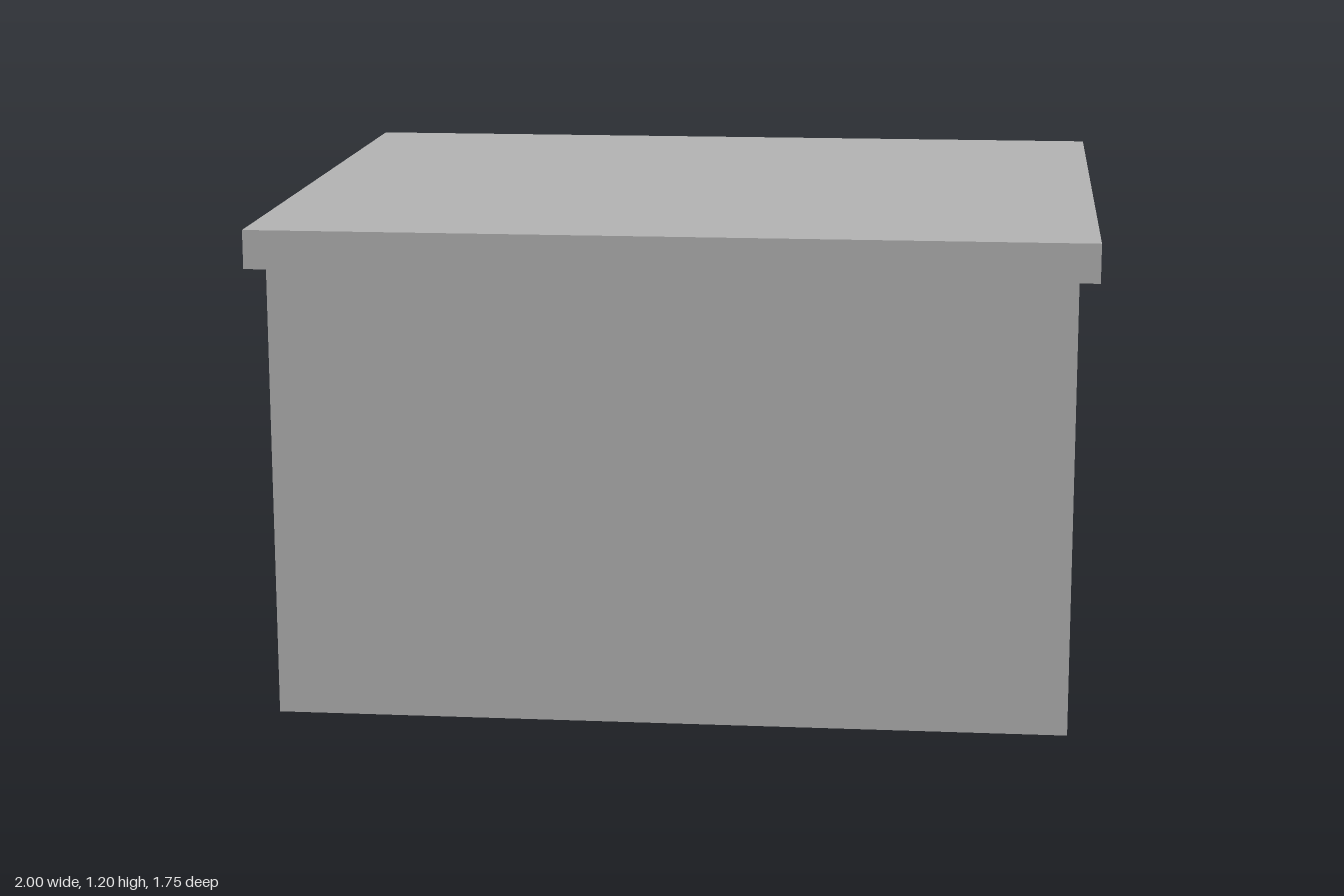
import * as THREE from 'three';

export function createModel() {
  const group = new THREE.Group();
  const grey = new THREE.MeshStandardMaterial({ color: 0xb2b2b2 });
  grey.name = 'plain grey';

  // Box given by its minimum and maximum on each axis
  function block(name, [x0, x1], [y0, y1], [z0, z1]) {
    const mesh = new THREE.Mesh(new THREE.BoxGeometry(x1 - x0, y1 - y0, z1 - z0), grey);
    mesh.position.set((x0 + x1) / 2, (y0 + y1) / 2, (z0 + z1) / 2);
    mesh.name = name;
    group.add(mesh);
  }

  // Walls and overhanging flat roof
  block('walls', [-0.957, 0.953], [0, 1.104], [-0.8, 0.828]);
  block('roof', [-1, 1], [1.104, 1.197], [-0.846, 0.874]);

  // Door slab standing just clear of the back wall
  block('door', [-0.096, 0.092], [0, 0.461], [-0.874, -0.817]);

  // Two columns of three windows on the back wall
  for (const x of [-0.575, 0.571]) {
    for (const y of [0.188, 0.553, 0.921]) {
      block('window', [x - 0.071, x + 0.071], [y - 0.091, y + 0.091], [-0.826, -0.799]);
    }
  }
  return group;
}
